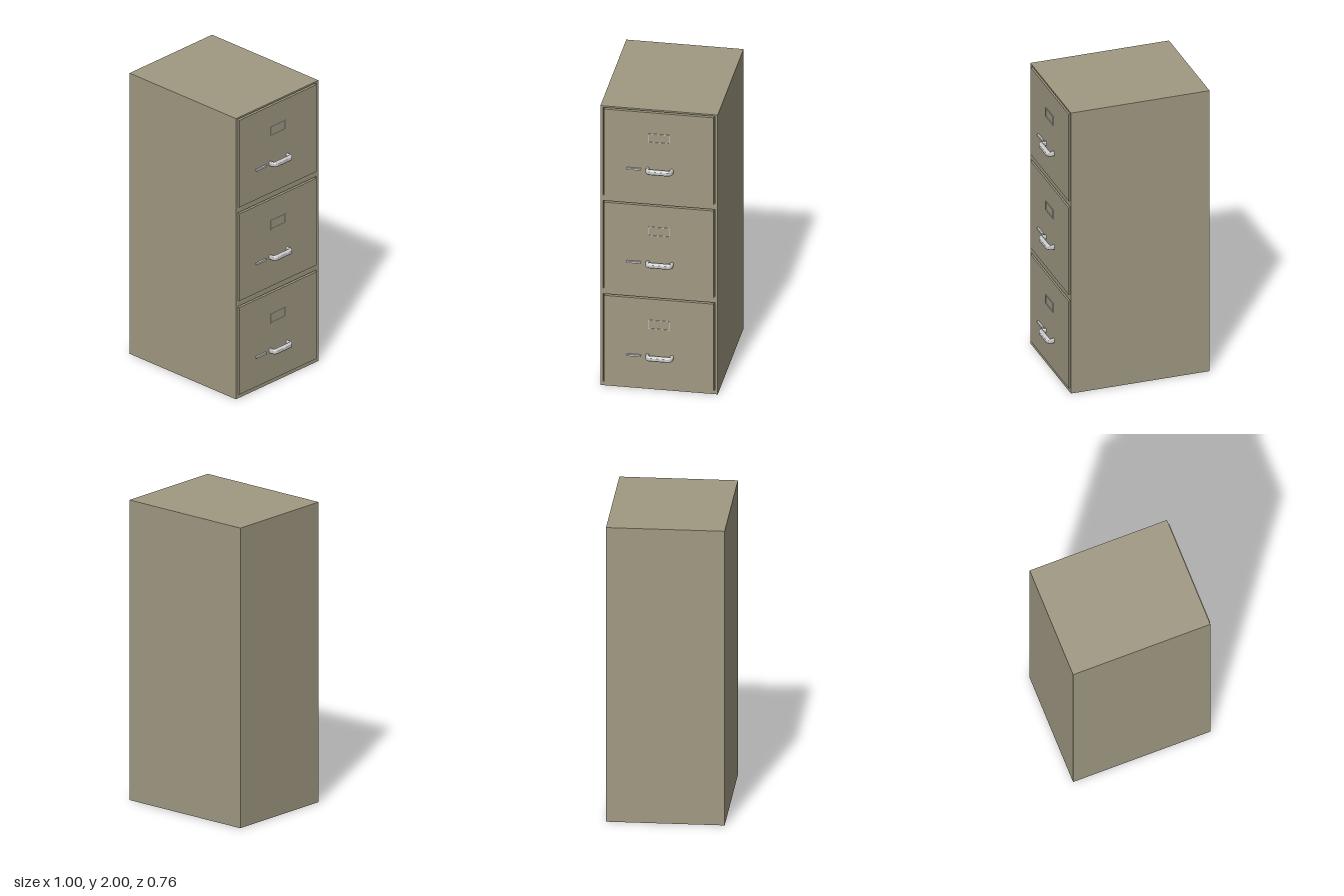
import * as THREE from 'three';
import { toCreasedNormals } from 'three/addons/utils/BufferGeometryUtils.js';

const paint = new THREE.MeshStandardMaterial({ color: 0xa09982 });
const metal = new THREE.MeshStandardMaterial({ color: 0xcccccc });

const PITCH = 0.667;      // spacing of the drawers
const DRAWER_H = 0.62;
const FACE_X = 0.447;     // outer plane of the drawer fronts

function add(parent, name, geometry, material) {
  const mesh = new THREE.Mesh(geometry, material);
  mesh.name = name;
  parent.add(mesh);
  return mesh;
}

// Box given by its limits on each axis
function box(x0, x1, y0, y1, z0, z1) {
  return new THREE.BoxGeometry(x1 - x0, y1 - y0, z1 - z0)
    .translate((x0 + x1) / 2, (y0 + y1) / 2, (z0 + z1) / 2);
}

function rect(Type, w, y0, y1) {
  const s = new Type();
  s.moveTo(-w, y0);
  s.lineTo(w, y0);
  s.lineTo(w, y1);
  s.lineTo(-w, y1);
  s.closePath();
  return s;
}

// Upright plate facing +x, running from x0 to x1
function plate(shape, x0, x1) {
  return new THREE.ExtrudeGeometry(shape, { depth: x1 - x0, bevelEnabled: false })
    .rotateY(Math.PI / 2).translate(x0, 0, 0);
}

// C-shaped pull with rounded outer corners and softened edges
function handleGeometry() {
  const x0 = 0.435, x1 = 0.5, z0 = -0.095, z1 = 0.083, r = 0.032;
  const leg = 0.022, bar = 0.03, thick = 0.032, bevel = 0.0095;
  const s = new THREE.Shape();
  s.moveTo(x0, z0);
  s.lineTo(x1 - r, z0);
  s.absarc(x1 - r, z0 + r, r, -Math.PI / 2, 0, false);
  s.lineTo(x1, z1 - r);
  s.absarc(x1 - r, z1 - r, r, 0, Math.PI / 2, false);
  s.lineTo(x0, z1);
  s.lineTo(x0, z1 - leg);
  s.lineTo(x1 - bar, z1 - leg);
  s.lineTo(x1 - bar, z0 + leg);
  s.lineTo(x0, z0 + leg);
  s.closePath();
  const g = new THREE.ExtrudeGeometry(s, {
    depth: thick - 2 * bevel, bevelThickness: bevel, bevelSize: bevel,
    bevelOffset: -bevel, bevelSegments: 4, curveSegments: 8,
  });
  g.translate(0, 0, -(thick / 2 - bevel)).rotateX(Math.PI / 2);
  return toCreasedNormals(g, 0.8);
}

function createDrawer() {
  const drawer = new THREE.Group();
  add(drawer, 'drawerFront', box(0.405, FACE_X, 0, DRAWER_H, -0.355, 0.355), paint);

  // Thin label frame
  const frame = rect(THREE.Shape, 0.07, 0.406, 0.47);
  frame.holes.push(rect(THREE.Path, 0.066, 0.41, 0.466));
  add(drawer, 'labelFrame', plate(frame, FACE_X - 0.002, 0.451), metal);

  add(drawer, 'handle', handleGeometry(), metal).position.y = 0.213;
  add(drawer, 'thumbLatch', box(0.44, 0.46, 0.206, 0.218, 0.115, 0.207), metal);
  return drawer;
}

export function createModel() {
  const model = new THREE.Group();
  model.name = 'filingCabinet';

  add(model, 'cabinetBody', box(-0.5, 0.41, 0, 2, -0.38, 0.38), paint);

  // Front frame, with openings a little larger than the drawers
  const frame = rect(THREE.Shape, 0.38, 0, 2);
  for (let i = 0; i < 3; i++) {
    const y = 0.027 + i * PITCH;
    frame.holes.push(rect(THREE.Path, 0.362, y, y + DRAWER_H + 0.008));
    const drawer = createDrawer();
    drawer.name = 'drawer' + (i + 1);
    drawer.position.y = y;
    model.add(drawer);
  }
  add(model, 'frontFrame', plate(frame, 0.41, 0.44), paint);
  return model;
}
